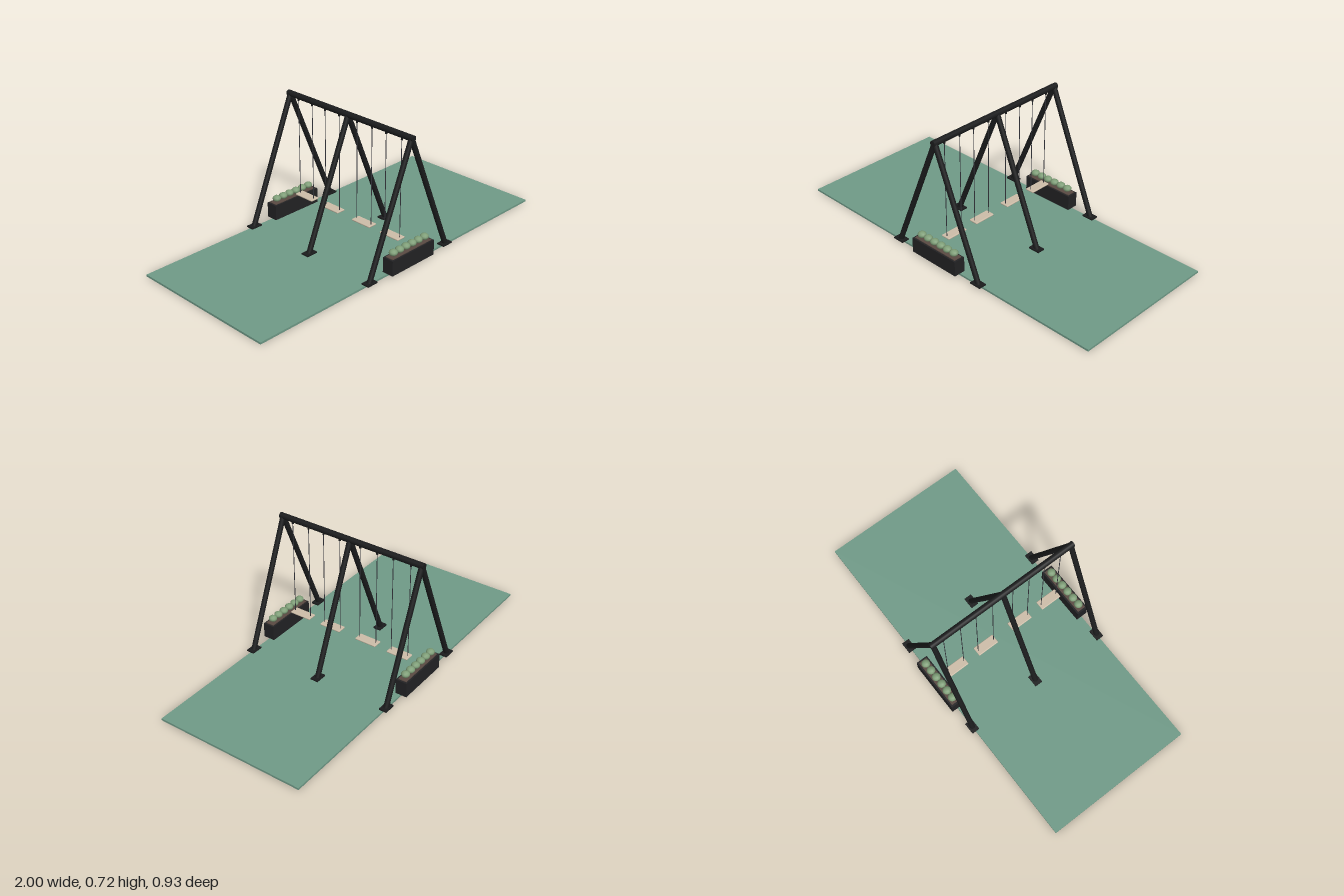
import * as THREE from 'three';
import { RoundedBoxGeometry } from 'three/addons/geometries/RoundedBoxGeometry.js';

const mat = (name, color) => {
  const m = new THREE.MeshStandardMaterial({ color });
  m.name = name;
  return m;
};

export function createModel() {
  const group = new THREE.Group();
  const turf = mat('turf green', 0x6f9a87);
  const steel = mat('black steel', 0x1b1c1d);
  const planterBlack = mat('planter black', 0x222224);
  const soil = mat('soil brown', 0x5a4a42);
  const leaf = mat('leaf green', 0x7f9f78);
  const wood = mat('pale wood', 0xcdbda8);
  const rope = mat('rope grey', 0x35363d);

  const add = (name, geometry, material, x, y, z, parent = group) => {
    const m = new THREE.Mesh(geometry, material);
    m.name = name;
    m.position.set(x, y, z);
    parent.add(m);
    return m;
  };
  const box = (w, h, d) => new THREE.BoxGeometry(w, h, d);

  const GROUND = 0.011, APEX = 0.702, FRAME_Z = 0.428, FOOT_X = 0.288;

  add('ground', box(2, GROUND, 0.855), turf, 0, GROUND / 2, 0);

  // Top beam along z
  const beam = new THREE.CylinderGeometry(0.0165, 0.0165, 0.886, 16).rotateX(Math.PI / 2);
  add('topBeam', beam, steel, 0, APEX, 0);

  // Three A-frames, each with two legs and foot plates
  const up = new THREE.Vector3(0, 1, 0);
  for (const z of [-FRAME_Z, 0, FRAME_Z]) {
    for (const s of [-1, 1]) {
      const foot = new THREE.Vector3(s * FOOT_X, GROUND + 0.003, z);
      const top = new THREE.Vector3(0, APEX, z);
      const dir = top.clone().sub(foot);
      const leg = add('leg', new THREE.CylinderGeometry(0.0145, 0.0145, dir.length(), 16), steel, 0, 0, 0);
      leg.position.copy(foot).add(top).multiplyScalar(0.5);
      leg.quaternion.setFromUnitVectors(up, dir.normalize());
      add('footPlate', box(0.066, 0.008, 0.044), steel, s * 0.286, GROUND + 0.004, z);
    }
  }

  // Four swings, each a seat on two ropes
  for (const z of [-0.314, -0.115, 0.115, 0.314]) {
    const swing = new THREE.Group();
    swing.name = 'swing';
    swing.position.z = z;
    group.add(swing);
    add('seat', new RoundedBoxGeometry(0.054, 0.01, 0.127, 3, 0.0045), wood, 0, 0.131, 0, swing);
    for (const s of [-1, 1]) {
      add('rope', new THREE.CylinderGeometry(0.002, 0.002, 0.55, 8), rope, 0, 0.409, s * 0.0515, swing);
      add('hanger', new THREE.CylinderGeometry(0.0055, 0.0055, 0.012, 10), steel, 0, 0.681, s * 0.0515, swing);
    }
  }

  // Planter troughs at both ends, each with a row of six plants
  for (const s of [-1, 1]) {
    const planter = new THREE.Group();
    planter.name = 'planter';
    planter.position.set(0, GROUND, s * 0.4295);
    group.add(planter);
    add('trough', box(0.314, 0.085, 0.066), planterBlack, 0, 0.0425, 0, planter);
    add('soil', box(0.294, 0.005, 0.048), soil, 0, 0.0865, 0, planter);
    for (let i = 0; i < 6; i++) {
      const plant = add('plant', new THREE.IcosahedronGeometry(0.024, 1).toNonIndexed(), leaf,
        (i - 2.5) * 0.047, 0.109, 0, planter);
      plant.scale.y = 0.75;
    }
  }
  return group;
}
